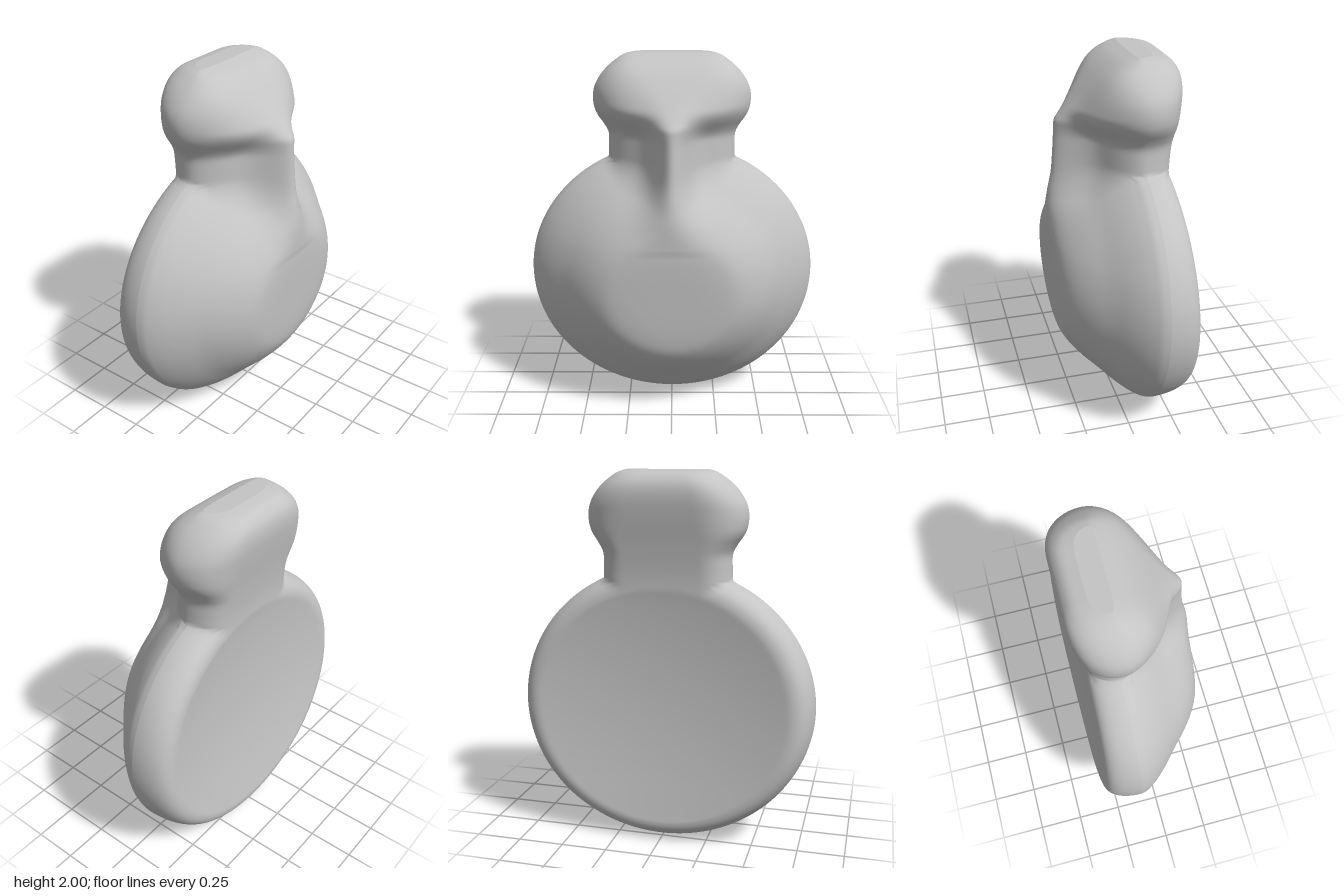
import * as THREE from 'three';

const { clamp, smoothstep, lerp } = THREE.MathUtils;

// smooth curve lookup through [position, value] pairs
function lookup(pts, v) {
  const n = pts.length - 1;
  if (v <= pts[0][0]) return pts[0][1];
  if (v >= pts[n][0]) return pts[n][1];
  const i = pts.findIndex((p) => v <= p[0]) - 1;
  const slope = (k) => {
    const a = pts[Math.max(0, k - 1)], b = pts[Math.min(n, k + 1)];
    return (b[1] - a[1]) / (b[0] - a[0]);
  };
  const [x0, y0] = pts[i], [x1, y1] = pts[i + 1];
  const h = x1 - x0, t = (v - x0) / h, s = 1 - t;
  return s * s * ((1 + 2 * t) * y0 + t * h * slope(i)) + t * t * ((3 - 2 * t) * y1 - s * h * slope(i + 1));
}

// maximum and minimum with a rounded join of width k
function softMax(a, b, k) {
  const d = Math.max(0, k - Math.abs(a - b));
  return Math.max(a, b) + (k > 0 ? d * d / (4 * k) : 0);
}
const softMin = (a, b, k) => -softMax(-a, -b, k);

const RIM = -0.12; // depth of the widest line
const NECK = 0.35;

// half width of head and neck by height
const headWidth = [[1.44, 0.35], [1.5, 0.348], [1.57, 0.35], [1.62, 0.375], [1.66, 0.403], [1.7, 0.422],
  [1.76, 0.43], [1.82, 0.42], [1.88, 0.387], [1.93, 0.342], [1.97, 0.29], [1.99, 0.255], [2, 0.22]];
// front of the bowl by relative radius
const bowlFront = [[0, 0.34], [0.2, 0.34], [0.35, 0.335], [0.45, 0.32], [0.55, 0.277], [0.65, 0.213],
  [0.75, 0.135], [0.86, 0.052], [0.93, -0.01], [0.97, -0.055], [0.99, -0.085], [1, RIM]];
// ridge crest, sloping head face and back plane by height
const ridgeFront = [[1, 0.34], [1.15, 0.34], [1.25, 0.327], [1.38, 0.302], [1.65, 0.28]];
const headFace = [[1.2, 0.65], [1.5, 0.41], [1.65, 0.28], [1.745, 0.2], [1.885, 0.08], [1.94, 0.02],
  [1.975, -0.035], [2, -0.1]];
const backPlane = [[0, -0.335], [0.3, -0.33], [1.3, -0.28], [1.45, -0.28], [1.6, -0.297], [1.78, -0.327],
  [1.86, -0.335], [1.92, -0.328], [1.96, -0.305], [1.985, -0.27], [2, -0.21]];
const ridgeWidth = [[1.15, 0.14], [1.4, 0.1], [1.65, 0.09]];

const bowlRadius = (x, y) => Math.hypot(x / 0.81, (y - 0.75) / 0.75);
const neckFraction = (x, y) => Math.min(1, Math.abs(x) / (y > 1.44 ? halfWidth(y) : NECK));

function halfWidth(y) {
  if (y > 1.44) return lookup(headWidth, y);
  const bowl = 0.81 * Math.sqrt(Math.max(0, 1 - ((y - 0.75) / 0.75) ** 2));
  return Math.max(bowl, y > 1 ? NECK : 0.06);
}

function frontDepth(x, y) {
  const dome = lookup(bowlFront, bowlRadius(x, y));
  const bowl = RIM + (dome - RIM) * (1 - 0.08 * Math.max(0, 1 - y));
  if (y < 1) return bowl;
  const ax = Math.abs(x);
  const edge = Math.sqrt(1 - neckFraction(x, y) ** 6);
  // wedge shaped neck under the rounded head
  const face = lookup(headFace, y);
  const head = softMin(face, 0.31 - 0.66 * ax, 0.16);
  const neck = Math.min(0.165 - 0.5 * ax, face);
  const column = lerp(neck, head, smoothstep(y, 1.56, 1.74));
  const join = 0.1 * edge * smoothstep(y, 1.1, 1.3) * (1 - smoothstep(y, 1.6, 1.8));
  const z = softMax(bowl, RIM + (column - RIM) * edge, join);
  // central ridge running down onto the bowl
  const crest = Math.min(lookup(ridgeFront, y), face);
  const blend = Math.exp(-((ax / lookup(ridgeWidth, y)) ** 2));
  return Math.max(z, lerp(z, crest, blend));
}

function backDepth(x, y) {
  const round = (u, start, power) => Math.sqrt(1 - clamp((u - start) / (1 - start), 0, 1) ** power);
  const r = bowlRadius(x, y);
  let e = round(r, 0.83, 3);
  if (y > 1) e = Math.max(e, round(neckFraction(x, y), lerp(0.55, 0.4, smoothstep(y, 1.6, 1.8)), 2.5));
  // shallow dish in the back
  const dish = 0.05 * Math.max(0, 1 - (r / 0.85) ** 2);
  return RIM + (lookup(backPlane, y) - RIM) * e + dish;
}

// closed skin lofted upward through horizontal sections
function shellGeometry(rows, around) {
  const pos = [], index = [];
  for (let j = -1; j <= rows + 1; j++) {
    const cap = j < 0 || j > rows;
    const y = 1 - Math.cos(Math.PI * clamp(j / rows, 0, 1));
    const w = halfWidth(y);
    for (let i = 0; i < around; i++) {
      const t = i / around * Math.PI * 2;
      const x = w * Math.cos(t), s = Math.sin(t);
      let z = RIM;
      if (!cap && Math.abs(s) > 1e-6) z = s > 0 ? frontDepth(x, y) : backDepth(x, y);
      pos.push(x, y, z);
    }
  }
  for (let j = 0; j < rows + 2; j++) {
    for (let i = 0; i < around; i++) {
      const a = j * around + i, b = j * around + (i + 1) % around;
      index.push(a, a + around, b, b, a + around, b + around);
    }
  }
  const g = new THREE.BufferGeometry();
  g.setAttribute('position', new THREE.Float32BufferAttribute(pos, 3));
  g.setIndex(index);
  g.computeVertexNormals();
  return g;
}

export function createModel() {
  const group = new THREE.Group();
  group.name = 'clapperShell';
  const grey = new THREE.MeshStandardMaterial({ color: 0xc4c4c4 });
  grey.name = 'light grey';
  const shell = new THREE.Mesh(shellGeometry(180, 160), grey);
  shell.name = 'shell';
  group.add(shell);
  return group;
}
